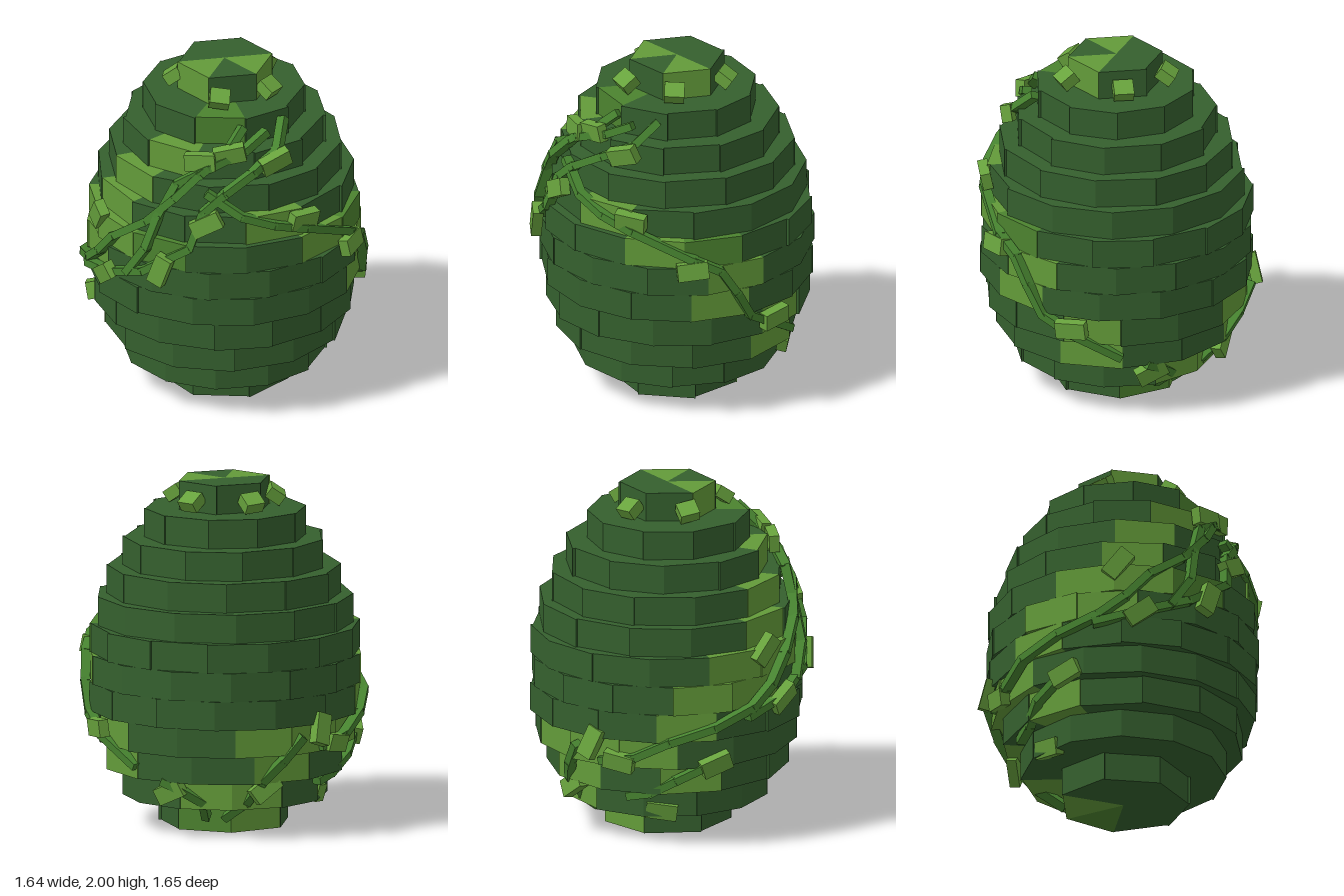
import * as THREE from 'three';

const LAYER_H = 1 / 6;
const CENTER_X = 0.03;
const rad = THREE.MathUtils.degToRad;

const mat = (name, color) => {
  const m = new THREE.MeshStandardMaterial({ color });
  m.name = name;
  return m;
};

// Layers from bottom to top: radius, sides, angle of one corner, mossy angle ranges with their shade
const LAYERS = [
  [0.375, 7, 5, [[-47, 5, 'deep'], [-98, -47, 'bright']]],
  [0.585, 12, 105, [[-74, -10, 'bright']]],
  [0.69, 12, 95, [[2, 35, 'bright'], [218, 250, 'bright'], [272, 312, 'bright']]],
  [0.755, 14, 83, [[6, 38, 'bright'], [225, 312, 'bright']]],
  [0.785, 14, 92, [[40, 66, 'bright'], [210, 252, 'bright']]],
  [0.785, 14, 85, [[33, 59, 'bright'], [188, 228, 'bright']]],
  [0.78, 14, 95, [[48, 70, 'deep'], [70, 94, 'bright'], [148, 172, 'deep'], [185, 212, 'bright']]],
  [0.735, 13, 65, [[86, 122, 'bright'], [176, 200, 'bright']]],
  [0.675, 12, 78, [[165, 200, 'bright']]],
  [0.58, 11, 80, [[140, 180, 'bright']]],
  [0.465, 10, 79, [[117, 148, 'deep']]],
  [0.275, 6, -31, [[32, 86, 'bright'], [152, 206, 'bright']]],
];

// Vine paths as [angle, height]
const VINES = [
  [[138, 1.47], [122, 1.34], [107, 1.27], [92, 1.21], [65, 1.06], [54, 0.98], [47, 0.83], [40, 0.66], [27, 0.56], [6, 0.41]],
  [[118, 1.78], [128, 1.68], [143, 1.56], [154, 1.42], [167, 1.25], [183, 1.1], [193, 0.95], [204, 0.84], [222, 0.75], [241, 0.67], [256, 0.57], [272, 0.53]],
  [[86, 1.78], [98, 1.66], [115, 1.57], [130, 1.47], [140, 1.36], [145, 1.15], [166, 0.96], [186, 0.86], [206, 0.79]],
  [[103, 1.75], [118, 1.68], [138, 1.6], [154, 1.5], [161, 1.3], [165, 1.1], [174, 0.92]],
  [[284, 0.6], [292, 0.46], [300, 0.34], [306, 0.2], [318, 0.1]],
  [[222, 0.52], [238, 0.42], [250, 0.33], [262, 0.3]],
  [[334, 0.1], [332, 0.2], [344, 0.29], [352, 0.33]],
];

// Leaves as [angle, height, tilt]
const LEAVES = [
  [93, 1.27, -5], [66, 1.0, 5], [27, 0.6, 5], [349, 0.27, 25], [275, 0.64, 70], [263, 0.54, -10],
  [220, 0.52, 20], [245, 0.2, -8], [187, 0.85, 35], [196, 1.16, 50], [157, 1.0, 70],
  [138, 1.3, 28], [127, 1.67, 12], [102, 1.61, 20], [143, 1.63, 5], [298, 0.3, 35],
];

// Outer radius at a height, smoothed between layer centres
function radiusAt(y) {
  const t = THREE.MathUtils.clamp(y / LAYER_H - 0.5, 0, LAYERS.length - 1);
  const i = Math.min(Math.floor(t), LAYERS.length - 2);
  return THREE.MathUtils.lerp(LAYERS[i][0], LAYERS[i + 1][0], t - i);
}

// Point just outside the bricks, standing further off on the stepped upper part
function onShell(deg, y, lift) {
  const r = radiusAt(y) + lift + 0.035 * THREE.MathUtils.smoothstep(y, 1.25, 1.5);
  return new THREE.Vector3(CENTER_X + r * Math.cos(rad(deg)), y, r * Math.sin(rad(deg)));
}

// One brick: a triangular prism from the axis to the rim
function wedgeGeometry(a, b, r) {
  const shape = new THREE.Shape([
    new THREE.Vector2(0, 0),
    new THREE.Vector2(r * Math.cos(a), -r * Math.sin(a)),
    new THREE.Vector2(r * Math.cos(b), -r * Math.sin(b)),
  ]);
  return new THREE.ExtrudeGeometry(shape, { depth: LAYER_H, bevelEnabled: false }).rotateX(-Math.PI / 2);
}

export function createModel() {
  const model = new THREE.Group();
  model.name = 'mossyEgg';
  const shell = mat('darkGreen', 0x35602e);
  const moss = { bright: mat('brightMoss', 0x639b39), deep: mat('deepMoss', 0x4c832f) };
  const vineMat = mat('vineGreen', 0x478430);
  const leafMat = mat('leafGreen', 0x68a33d);

  let seed = 7;
  const rand = () => (seed = (seed * 16807) % 2147483647) / 2147483647;

  const add = (parent, name, geometry, material) => {
    const mesh = new THREE.Mesh(geometry, material);
    mesh.name = name;
    parent.add(mesh);
    return mesh;
  };

  // Stacked rings of bricks
  LAYERS.forEach(([r, n, phase, ranges], i) => {
    const layer = new THREE.Group();
    layer.name = `layer${i + 1}`;
    layer.position.set(CENTER_X, i * LAYER_H, 0);
    const step = 360 / n;
    for (let k = 0; k < n; k++) {
      const a = phase + k * step, mid = a + step / 2;
      const mossy = ranges.find(([lo, hi]) =>
        THREE.MathUtils.euclideanModulo(mid - lo, 360) < hi - lo);
      const geometry = wedgeGeometry(rad(a), rad(a + step), r + (rand() - 0.5) * 0.02);
      add(layer, mossy ? 'mossyBrick' : 'brick', geometry, mossy ? moss[mossy[2]] : shell);
    }
    model.add(layer);
  });

  // Vines: square rods laid from point to point
  VINES.forEach((path, i) => {
    const vine = new THREE.Group();
    vine.name = `vine${i + 1}`;
    const pts = path.map(([deg, y]) => onShell(deg, y, 0.015));
    for (let k = 0; k + 1 < pts.length; k++) {
      const mid = pts[k].clone().add(pts[k + 1]).multiplyScalar(0.5);
      const along = pts[k + 1].clone().sub(pts[k]);
      const length = along.length() + 0.02;
      along.normalize();
      const side = new THREE.Vector3(mid.x - CENTER_X, 0, mid.z).cross(along).normalize();
      const out = along.clone().cross(side);
      const rod = add(vine, 'vineSegment', new THREE.BoxGeometry(length, 0.045, 0.055), vineMat);
      rod.quaternion.setFromRotationMatrix(new THREE.Matrix4().makeBasis(along, side, out));
      rod.position.copy(mid);
    }
    model.add(vine);
  });

  // Leaves: tilted blocks facing outward
  const leaves = new THREE.Group();
  leaves.name = 'leaves';
  LEAVES.forEach(([deg, y, tilt]) => {
    const leaf = add(leaves, 'leaf', new THREE.BoxGeometry(0.18, 0.1, 0.06), leafMat);
    leaf.position.copy(onShell(deg, y, 0.025));
    leaf.rotation.set((rand() - 0.5) * 0.5, rad(90 - deg), rad(tilt), 'YXZ');
  });

  // Small leaf blocks around the crown
  for (const [x, z, tilt] of [[-0.2, -0.18, 40], [0.12, -0.28, 15], [0.32, 0, 0], [0.11, 0.3, -10], [-0.2, 0.23, -35]]) {
    const bud = add(leaves, 'crownLeaf', new THREE.BoxGeometry(0.115, 0.07, 0.1), leafMat);
    bud.position.set(x, 1.9, z);
    bud.rotation.set(0.6, Math.atan2(x - CENTER_X, z), rad(tilt) * 0.3, 'YXZ');
  }
  model.add(leaves);
  return model;
}
